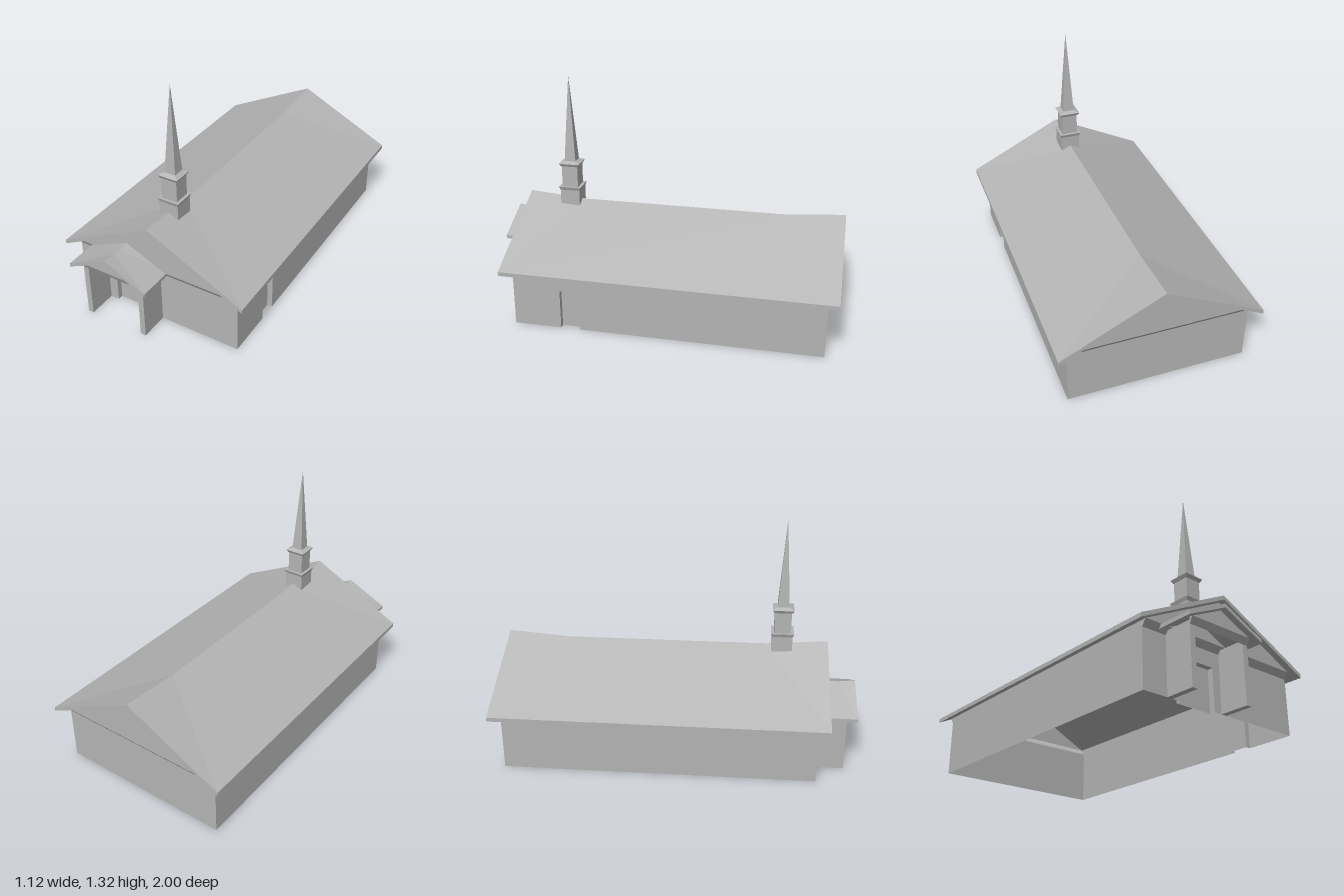
import * as THREE from 'three';

const stone = new THREE.MeshStandardMaterial({ color: 0xb4b4b4, side: THREE.DoubleSide });
stone.name = 'pale grey';

// Flat faces from convex corner lists (counter-clockwise from outside)
function faces(polys) {
  const pos = [];
  for (const p of polys) {
    for (let i = 1; i < p.length - 1; i++) pos.push(...p[0], ...p[i], ...p[i + 1]);
  }
  const g = new THREE.BufferGeometry();
  g.setAttribute('position', new THREE.Float32BufferAttribute(pos, 3));
  g.computeVertexNormals();
  return g;
}

function add(parent, name, geometry) {
  const m = new THREE.Mesh(geometry, stone);
  m.name = name;
  parent.add(m);
  return m;
}

// Thin wall turned about y, with an optional recessed door [u0, u1, height]
function wall(parent, name, u0, u1, h, offset, turn, door) {
  const outline = [[u0, 0]];
  if (door) outline.push([door[0], 0], [door[0], door[2]], [door[1], door[2]], [door[1], 0]);
  outline.push([u1, 0], [u1, h], [u0, h]);
  const shape = new THREE.Shape(outline.map(p => new THREE.Vector2(...p)));
  const place = g => g.translate(0, 0, offset).rotateY(turn);
  add(parent, name, place(new THREE.ShapeGeometry(shape)));
  if (door) {
    const [a, b, t] = door, d = -0.03;
    add(parent, name + 'Door', place(faces([[[a, 0, d], [b, 0, d], [b, t, d], [a, t, d]]])));
    add(parent, name + 'DoorFrame', place(faces([
      [[a, 0, 0], [a, 0, d], [a, t, d], [a, t, 0]],
      [[b, 0, d], [b, 0, 0], [b, t, 0], [b, t, d]],
      [[a, t, 0], [a, t, d], [b, t, d], [b, t, 0]],
    ])));
  }
}

// Gable roof slab whose ridge rises toward both ends
function roof(parent, name, { cx, half, z0, z1, eave, ridge, peak, inset, t }) {
  const zs = [z1, z1 - inset, z0 + inset, z0], ys = [peak, ridge, ridge, peak];
  const polys = [];
  for (const s of [1, -1]) {
    const skin = drop => {
      const R = zs.map((z, i) => [cx, ys[i] - drop, z]);
      const A = [cx + s * half, eave - drop, z1], D = [cx + s * half, eave - drop, z0];
      return { R, A, D, list: [[A, R[1], R[0]], [A, D, R[2], R[1]], [D, R[3], R[2]]] };
    };
    const o = skin(0), u = skin(t);
    const side = [
      ...o.list,
      ...u.list.map(p => [...p].reverse()),
      [u.A, u.D, o.D, o.A],
      [u.A, o.A, o.R[0], u.R[0]],
      [u.D, u.R[3], o.R[3], o.D],
    ];
    polys.push(...(s > 0 ? side : side.map(p => [...p].reverse())));
  }
  add(parent, name, faces(polys));
}

// Sloping band under a gable, with the gable triangle above it
function gable(parent, name, { cx, half, y0, y1, apex, out, offset, turn }) {
  const a = cx - half, b = cx + half;
  const place = g => g.translate(0, 0, offset).rotateY(turn);
  add(parent, name + 'Cornice', place(faces([
    [[a, y0, 0], [b, y0, 0], [b, y1, out], [a, y1, out]],
    [[b, y0, 0], [b, y1, 0], [b, y1, out]],
    [[a, y0, 0], [a, y1, out], [a, y1, 0]],
  ])));
  add(parent, name, place(faces([[[a, y1, out], [b, y1, out], [cx, apex, out]]])));
}

// Square tapering block: half widths at its bottom and top
function block(parent, name, w0, w1, y0, y1) {
  const g = new THREE.CylinderGeometry(w1 * Math.SQRT2, w0 * Math.SQRT2, y1 - y0, 4).toNonIndexed();
  g.rotateY(Math.PI / 4).translate(0, (y0 + y1) / 2, 0);
  g.computeVertexNormals();
  add(parent, name, g);
}

export function createModel() {
  const model = new THREE.Group();
  model.name = 'church';

  // Hall, open underneath
  const hall = new THREE.Group();
  hall.name = 'hall';
  model.add(hall);
  wall(hall, 'frontWall', -0.5, 0.5, 0.31, 0.79, 0, [-0.27, -0.05, 0.227]);
  wall(hall, 'backWall', -0.5, 0.5, 0.31, 0.94, Math.PI);
  wall(hall, 'leftWall', -0.79, 0.94, 0.345, 0.5, Math.PI / 2, [-0.52, -0.41, 0.227]);
  wall(hall, 'rightWall', -0.94, 0.79, 0.345, 0.5, -Math.PI / 2);
  const end = { cx: 0, half: 0.5, y0: 0.31, y1: 0.345, apex: 0.59, out: 0.025 };
  gable(hall, 'frontGable', { ...end, offset: 0.79, turn: 0 });
  gable(hall, 'backGable', { ...end, offset: 0.94, turn: Math.PI });
  roof(hall, 'mainRoof', {
    cx: 0, half: 0.56, z0: -1, z1: 0.85, eave: 0.34, ridge: 0.59, peak: 0.617, inset: 0.355, t: 0.023,
  });

  // Off-centre porch with two side walls
  const porch = new THREE.Group();
  porch.name = 'porch';
  model.add(porch);
  const cx = -0.162;
  for (const s of [-1, 1]) {
    const slab = new THREE.BoxGeometry(0.032, 0.33, 0.16);
    slab.translate(cx + s * 0.176, 0.165, 0.87);
    add(porch, s > 0 ? 'porchLeftWall' : 'porchRightWall', slab);
  }
  gable(porch, 'porchGable', {
    cx, half: 0.192, y0: 0.31, y1: 0.345, apex: 0.434, out: 0.018, offset: 0.95, turn: 0,
  });
  roof(porch, 'porchRoof', {
    cx, half: 0.243, z0: 0.79, z1: 1, eave: 0.342, ridge: 0.446, peak: 0.456, inset: 0.085, t: 0.02,
  });

  // Steeple
  const steeple = new THREE.Group();
  steeple.name = 'steeple';
  steeple.position.z = 0.59;
  model.add(steeple);
  block(steeple, 'steepleBase', 0.057, 0.057, 0.55, 0.657);
  block(steeple, 'baseCornice', 0.057, 0.065, 0.657, 0.677);
  block(steeple, 'belfry', 0.047, 0.047, 0.677, 0.8);
  block(steeple, 'belfryCornice', 0.051, 0.06, 0.8, 0.817);
  block(steeple, 'belfryCap', 0.06, 0.034, 0.817, 0.829);
  block(steeple, 'spire', 0.033, 0.0005, 0.826, 1.32);

  return model;
}
